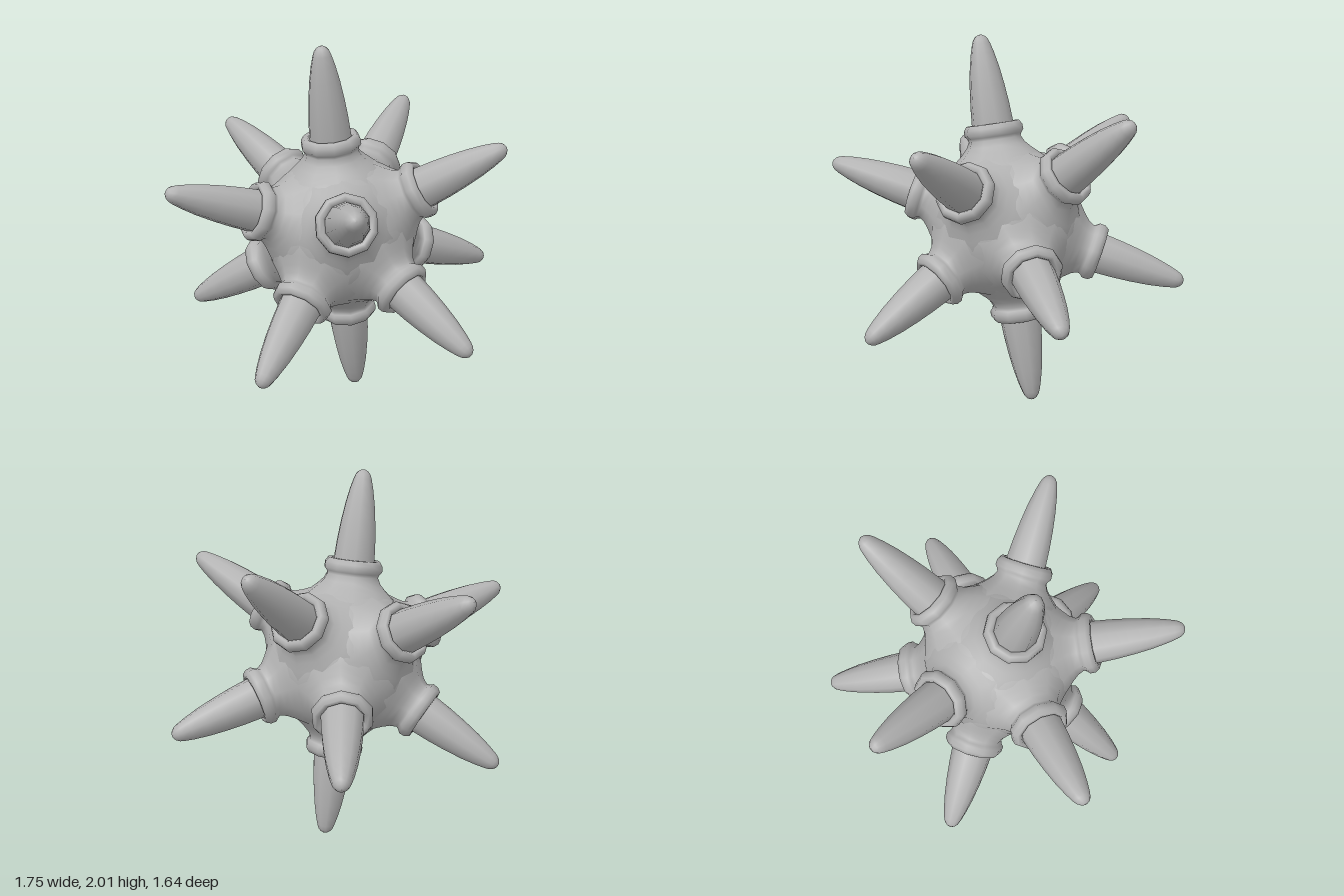
import * as THREE from 'three';

const SIDES = 10;

// Surface of revolution from [radius, distance along axis] pairs
function lathe(profile) {
  return new THREE.LatheGeometry(profile.map(([r, s]) => new THREE.Vector2(r, s)), SIDES);
}

// Twelve icosahedron corners, turned so that one triangle faces the front
function spikeDirections() {
  const t = (1 + Math.sqrt(5)) / 2;
  const tilt = Math.asin(1 / (Math.sqrt(3) * t));
  const xAxis = new THREE.Vector3(1, 0, 0);
  const list = [];
  for (const a of [-1, 1]) {
    for (const b of [-t, t]) {
      list.push(
        new THREE.Vector3(0, b, a),
        new THREE.Vector3(a, 0, b),
        new THREE.Vector3(b, a, 0)
      );
    }
  }
  return list.map((v) => v.normalize().applyAxisAngle(xAxis, -tilt));
}

export function createModel() {
  const model = new THREE.Group();
  model.name = 'spikedBall';
  const grey = new THREE.MeshStandardMaterial({ color: 0xb2b2b2 });
  grey.name = 'grey';

  // Round core
  const core = new THREE.Mesh(new THREE.SphereGeometry(0.42, 48, 32), grey);
  core.name = 'core';
  core.position.y = 1;
  model.add(core);

  // Socket flares out of the core, narrows to a neck and ends in a thick rim
  const socketShape = lathe([
    [0.28, 0.305], [0.26, 0.33], [0.225, 0.362], [0.19, 0.393], [0.16, 0.425],
    [0.143, 0.458], [0.15, 0.475], [0.163, 0.49], [0.161, 0.52],
    [0.145, 0.543], [0.125, 0.543], [0.112, 0.528], [0.108, 0.5],
  ]);
  // Tapered spike with bulging sides and a blunt tip
  const spikeShape = lathe([
    [0.115, 0.48], [0.114, 0.54], [0.107, 0.64], [0.096, 0.74], [0.081, 0.84],
    [0.064, 0.92], [0.05, 0.97], [0.041, 0.994], [0.028, 1.01], [0.013, 1.019], [0, 1.021],
  ]);

  const up = new THREE.Vector3(0, 1, 0);
  for (const direction of spikeDirections()) {
    const horn = new THREE.Group();
    horn.name = 'horn';
    const socket = new THREE.Mesh(socketShape, grey);
    socket.name = 'socket';
    const spike = new THREE.Mesh(spikeShape, grey);
    spike.name = 'spike';
    horn.add(socket, spike);
    horn.position.y = 1;
    horn.quaternion.setFromUnitVectors(up, direction);
    model.add(horn);
  }
  return model;
}
